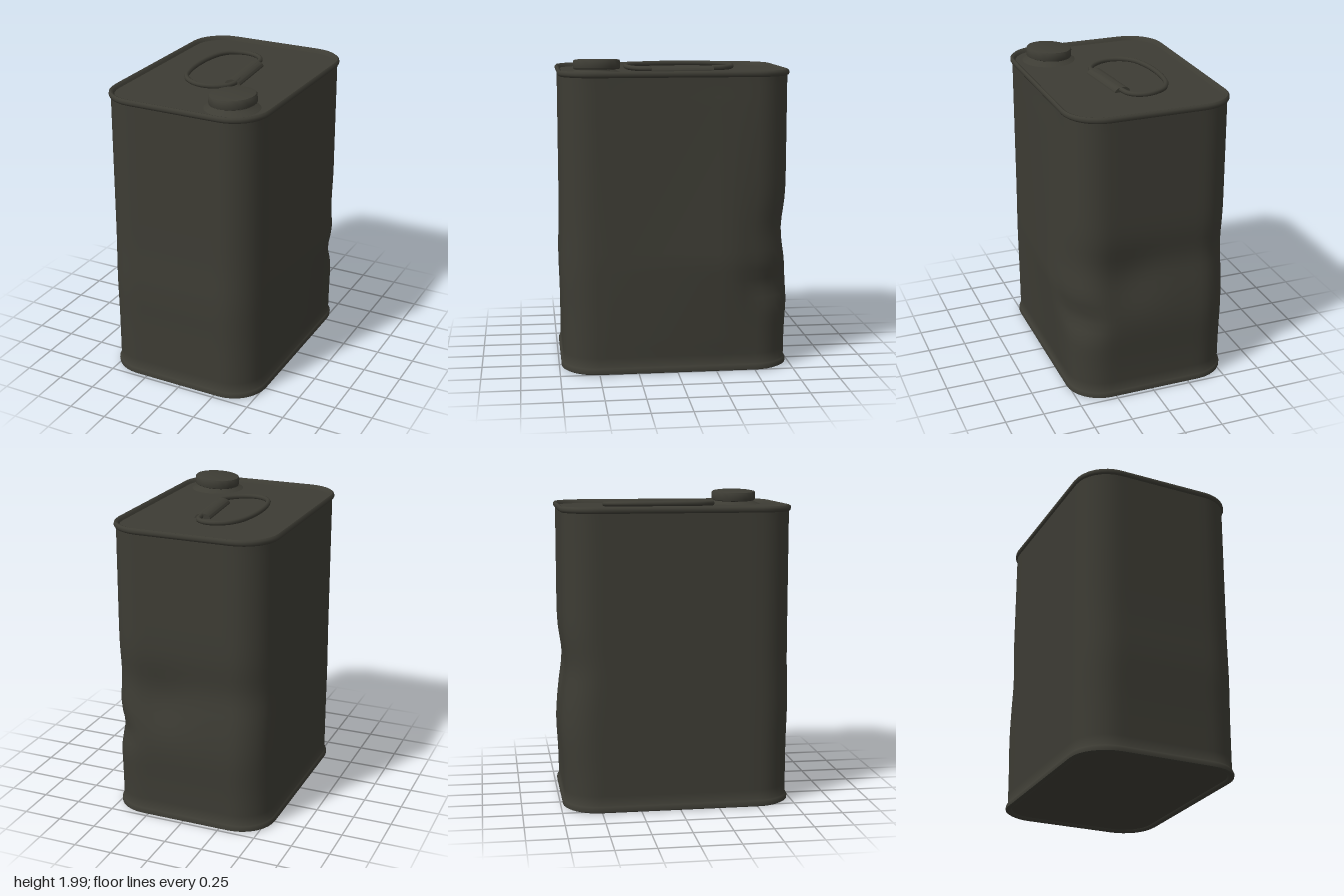
import * as THREE from 'three';
import { toCreasedNormals } from 'three/addons/utils/BufferGeometryUtils.js';

const olive = new THREE.MeshStandardMaterial({ color: 0x3d3c34 });
olive.name = 'dark olive paint';

const CX = -0.018, HALF_W = 0.524, HALF_D = 0.725, RADIUS = 0.22;

// Rounded rectangle ring, running from +x towards +z
function ring(inset) {
  const r = RADIUS - inset, w = HALF_W - inset - r, d = HALF_D - inset - r;
  const corners = [[w, d], [-w, d], [-w, -d], [w, -d]];
  const pts = [];
  corners.forEach(([cx, cz], q) => {
    for (let i = 0; i <= 8; i++) {
      const a = (q + i / 8) * Math.PI / 2;
      pts.push([cx + r * Math.cos(a), cz + r * Math.sin(a)]);
    }
    // Subdivide the flat side so that it can be dented
    const [ex, ez] = pts[pts.length - 1];
    const [nx, nz] = corners[(q + 1) % 4];
    const a = (q + 1) * Math.PI / 2;
    const tx = nx + r * Math.cos(a), tz = nz + r * Math.sin(a);
    for (let i = 1; i < 12; i++) pts.push([ex + (tx - ex) * i / 12, ez + (tz - ez) * i / 12]);
  });
  return pts;
}

const bell = (v, centre, width) => Math.exp(-(((v - centre) / width) ** 2));
const tent = (v, low, peak, high) =>
  Math.max(0, Math.min((v - low) / (peak - low), (high - v) / (high - peak)));

// Bulges and dents of the worn sheet metal
function dent(x, y, z) {
  let dx = 0, dz = 0;
  const fade = Math.min(1, Math.max(0, Math.min(y - 0.05, 1.88 - y) / 0.1));
  if (x > 0.3) dx += 0.052 * tent(y, 0.05, 0.72, 1.9) * tent(z, -0.6, -0.34, 0.6);
  if (z < -0.5) {
    dz += 0.022 * bell(y, 0.92, 0.15) - 0.016 * bell(y, 0.5, 0.2);
    dz += 0.025 * bell(x, 0.15, 0.18) * bell(y, 0.8, 0.16);
    const corner = bell(x, 0.46, 0.13) * bell(y, 0.56, 0.1);
    dx -= 0.02 * corner;
    dz += 0.03 * corner;
  }
  if (z > 0.5) dz += 0.008 * bell(y, 0.65, 0.2);
  return [x + dx * fade, y, z + dz * fade];
}

// Loft through [inset, height, scale] sections from the bottom centre to the top centre
function canGeometry() {
  const sections = [[0.03, 0.022, 0], [0.03, 0.022, 1], [0.022, 0.008, 1], [0.005, 0.004, 1],
    [-0.01, 0.012, 1], [-0.011, 0.03, 1], [-0.004, 0.045, 1], [0.002, 0.052, 1]];
  for (let i = 1; i < 30; i++) sections.push([0.002, 0.052 + (1.886 - 0.052) * i / 30, 1]);
  sections.push([0.002, 1.886, 1], [-0.006, 1.891, 1], [-0.011, 1.902, 1], [-0.009, 1.917, 1],
    [0.0, 1.925, 1], [0.01, 1.922, 1], [0.018, 1.91, 1], [0.024, 1.9, 1], [0.024, 1.9, 0]);

  const pos = [], index = [];
  let n = 0;
  for (const [inset, y, s] of sections) {
    const pts = ring(inset);
    n = pts.length;
    for (const [x, z] of pts) pos.push(...dent(CX + x * s, y, z * s));
  }
  for (let j = 0; j < sections.length - 1; j++) {
    for (let i = 0; i < n; i++) {
      const k = (i + 1) % n;
      const a = j * n + i, b = j * n + k, c = a + n, d = b + n;
      if (sections[j + 1][2] > 0) index.push(a, c, d);
      else index.push(a, c, b);
      if (sections[j][2] > 0 && sections[j + 1][2] > 0) index.push(a, d, b);
    }
  }
  const g = new THREE.BufferGeometry();
  g.setAttribute('position', new THREE.Float32BufferAttribute(pos, 3));
  g.setIndex(index);
  return toCreasedNormals(g, 0.9);
}

function lathe(points, segments) {
  return toCreasedNormals(
    new THREE.LatheGeometry(points.map(([x, y]) => new THREE.Vector2(x, y)), segments), 0.7);
}

export function createModel() {
  const model = new THREE.Group();
  model.name = 'metalCan';
  const add = (name, geometry, parent = model) => {
    const mesh = new THREE.Mesh(geometry, olive);
    mesh.name = name;
    parent.add(mesh);
    return mesh;
  };

  add('canBody', canGeometry());

  // Flared spout base, with a slightly tilted cap
  const flare = add('spoutBase',
    lathe([[0.178, 1.897], [0.165, 1.905], [0.142, 1.913], [0.125, 1.925], [0.12, 1.95]], 32));
  flare.position.set(0.265, 0, 0.495);

  const cap = add('cap', lathe([[0, -0.03], [0.135, -0.03], [0.146, -0.025], [0.148, -0.015],
    [0.148, 0.022], [0.143, 0.029], [0.125, 0.033], [0, 0.035]], 32));
  cap.position.set(0.265, 1.956, 0.488);
  cap.rotation.z = 0.06;

  // Wire carrying loop, resting on the lid
  const loop = [[0.065, -0.15], [0.05, -0.29], [0.035, -0.36], [-0.015, -0.41], [-0.09, -0.425],
    [-0.18, -0.39], [-0.235, -0.31], [-0.26, -0.2], [-0.265, -0.05], [-0.25, 0.08],
    [-0.215, 0.19], [-0.15, 0.255], [-0.07, 0.277], [0.02, 0.25], [0.08, 0.19], [0.095, 0.13],
    [0.08, 0.0]];
  const path = new THREE.CatmullRomCurve3(
    loop.map(([x, z]) => new THREE.Vector3(x, 1.916 - 0.045 * (x - 0.07), z)), true);
  add('handleLoop', new THREE.TubeGeometry(path, 72, 0.016, 8, true));

  // Folded sleeve holding the loop
  const sleeve = new THREE.Group();
  sleeve.name = 'handleBracket';
  sleeve.position.set(0.06, 1.898, -0.077);
  sleeve.rotation.y = Math.atan2(0.035, 0.41);
  const arch = new THREE.Shape();
  arch.absellipse(0, 0, 0.052, 0.034, 0, Math.PI, false);
  arch.closePath();
  const fold = new THREE.ExtrudeGeometry(arch,
    { depth: 0.41, bevelEnabled: false, curveSegments: 14 });
  fold.translate(0, 0, -0.205);
  add('bracketSleeve', toCreasedNormals(fold, 0.7), sleeve);
  model.add(sleeve);

  return model;
}
